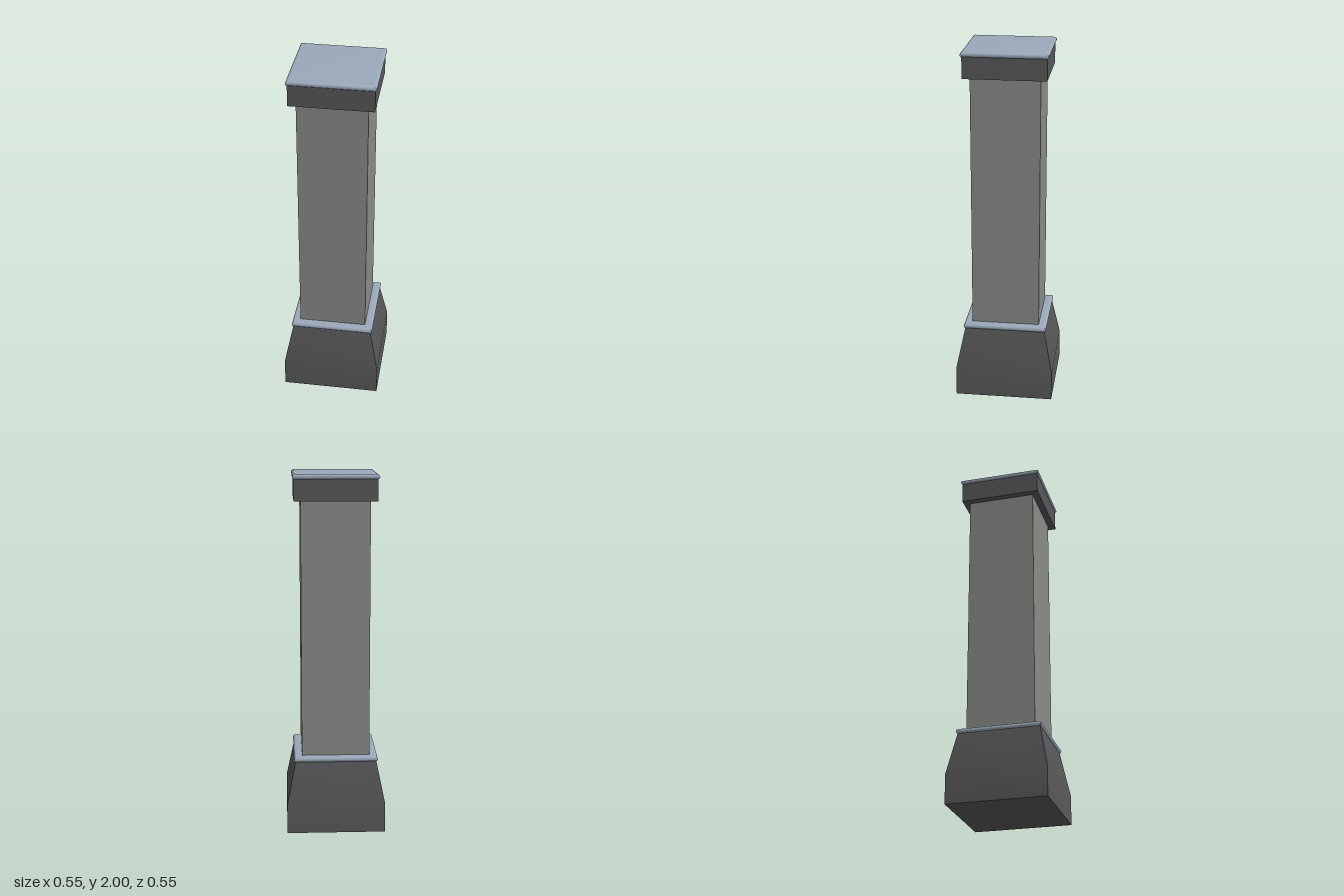
import * as THREE from 'three';
import { toCreasedNormals } from 'three/addons/utils/BufferGeometryUtils.js';

const stone = (color) => new THREE.MeshStandardMaterial({ color });
const dark = stone(0x58585a);
const shaftGrey = stone(0x8a8c88);
const paleBlue = stone(0x9aa8ba);

// Square solid from a profile of [half width, height], listed bottom to top
function squareSolid(name, profile, material) {
  const pts = profile.map(([h, y]) => new THREE.Vector2(h * Math.SQRT2, y));
  pts.unshift(new THREE.Vector2(0, pts[0].y));
  pts.push(new THREE.Vector2(0, pts[pts.length - 1].y));
  const geo = new THREE.LatheGeometry(pts, 4, Math.PI / 4);
  const mesh = new THREE.Mesh(toCreasedNormals(geo, 0.65), material);
  mesh.name = name;
  return mesh;
}

// Thin slab with a rounded rim, smooth in profile and mitred at the corners
function roundedSlab(name, y0, y1) {
  const mid = (y0 + y1) / 2, ry = (y1 - y0) / 2, profile = [];
  for (let i = 0; i <= 10; i++) {
    const a = -Math.PI / 2 + (Math.PI * i) / 10;
    profile.push([0.215 + 0.02 * Math.cos(a), mid + ry * Math.sin(a)]);
  }
  return squareSolid(name, profile, paleBlue);
}

export function createModel() {
  const model = new THREE.Group();
  model.name = 'pillar';
  model.add(
    // Plinth: straight foot, then a taper
    squareSolid('plinth', [[0.275, 0], [0.275, 0.165], [0.227, 0.402]], dark),
    roundedSlab('plinthSlab', 0.398, 0.43),
    squareSolid('shaft', [[0.19, 0.42], [0.19, 1.87]], shaftGrey),
    // Capital and its top slab
    squareSolid('capital', [[0.227, 1.855], [0.227, 1.976]], dark),
    roundedSlab('topSlab', 1.97, 2),
  );
  return model;
}
